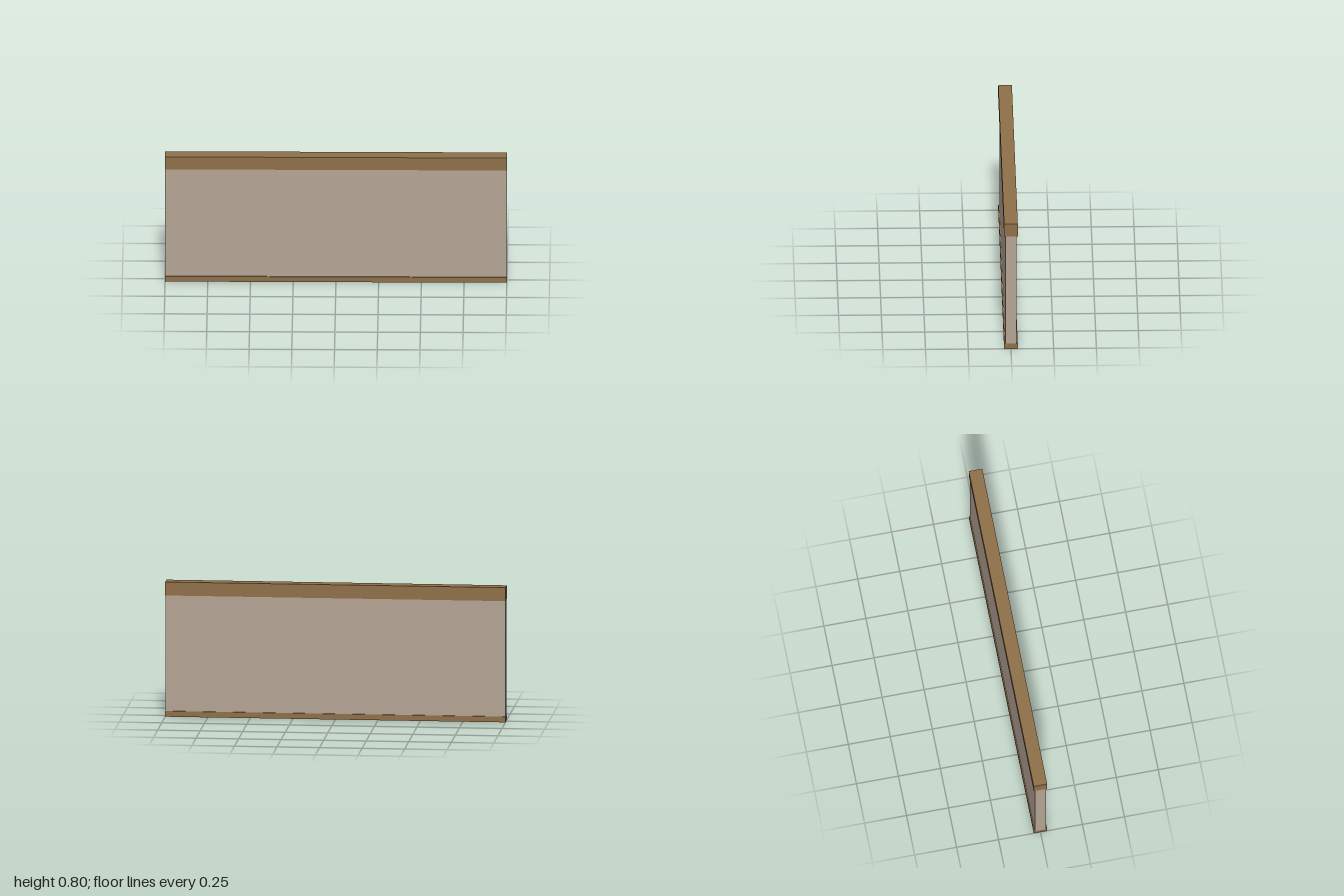
import * as THREE from 'three';

export function createModel() {
  const wood = new THREE.MeshStandardMaterial({ color: 0x8f7049 });
  wood.name = 'brown wood';
  const plaster = new THREE.MeshStandardMaterial({ color: 0xb4a495 });
  plaster.name = 'beige plaster';

  const wall = new THREE.Group();
  wall.name = 'wall';

  // Full-length slab spanning from y0 to y1
  function slab(name, y0, y1, depth, material) {
    const mesh = new THREE.Mesh(new THREE.BoxGeometry(2, y1 - y0, depth), material);
    mesh.name = name;
    mesh.position.y = (y0 + y1) / 2;
    wall.add(mesh);
  }

  slab('bottomRail', 0, 0.033, 0.08, wood);
  slab('panel', 0.033, 0.72, 0.066, plaster);
  slab('topRail', 0.72, 0.8, 0.08, wood);

  return wall;
}
